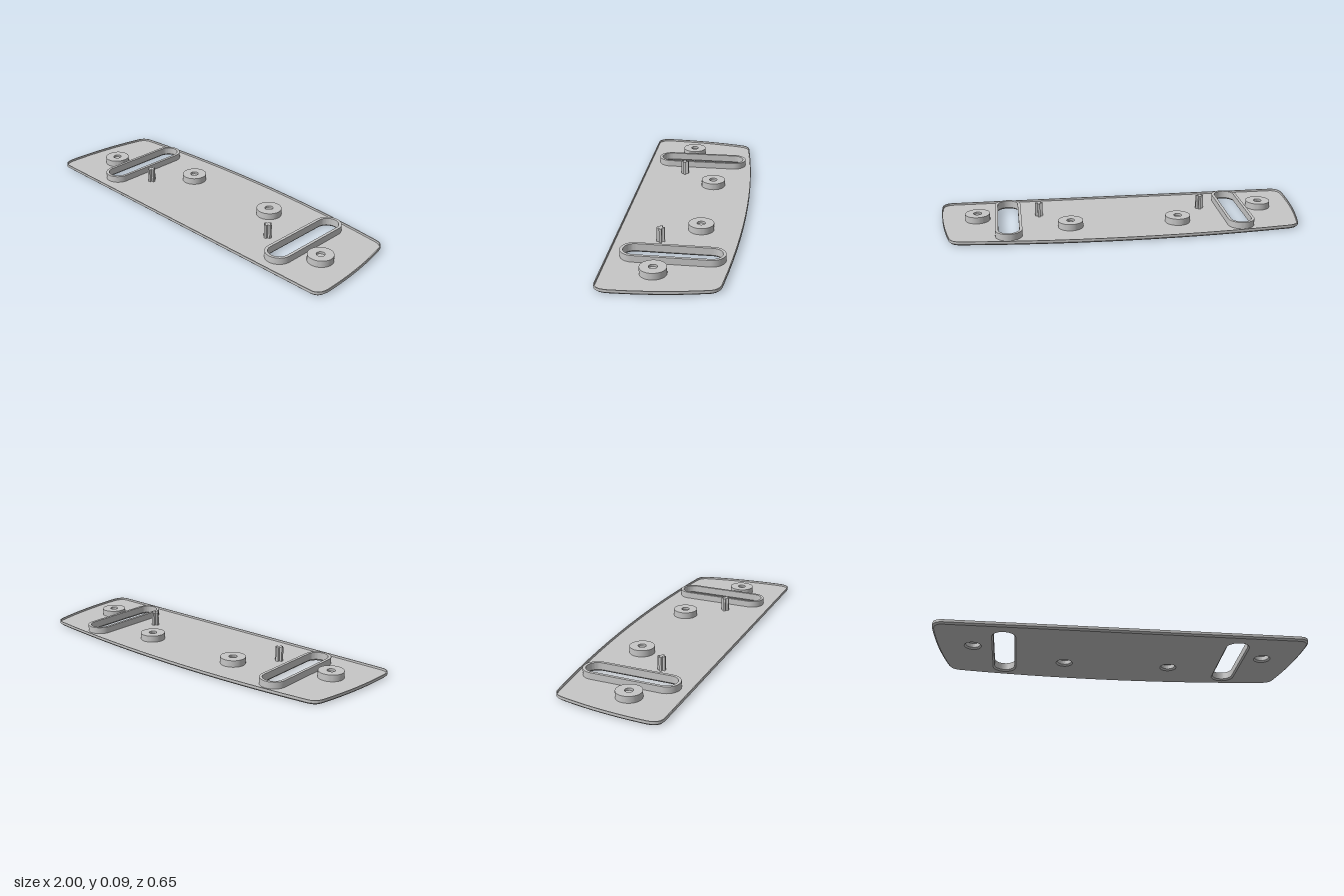
import * as THREE from 'three';
import { toCreasedNormals } from 'three/addons/utils/BufferGeometryUtils.js';

// Plan coordinates: (x, -z), loops run counter-clockwise seen from above.
const FLOOR = 0.012, RIM = 0.0235, TOP = 0.048, CHAMFER = 0.009;

// Outline of the plate, mirrored left to right
function plateOutline() {
  const s = new THREE.Shape();
  s.moveTo(-0.94, -0.326);
  s.lineTo(0.94, -0.326);
  s.quadraticCurveTo(1, -0.326, 1, -0.25);
  s.quadraticCurveTo(0.996, 0, 0.943, 0.225);
  s.quadraticCurveTo(0.93, 0.267, 0.88, 0.273);
  s.quadraticCurveTo(0, 0.379, -0.88, 0.273);
  s.quadraticCurveTo(-0.93, 0.267, -0.943, 0.225);
  s.quadraticCurveTo(-0.996, 0, -1, -0.25);
  s.quadraticCurveTo(-1, -0.326, -0.94, -0.326);
  const pts = s.getPoints(14);
  if (pts[0].distanceTo(pts[pts.length - 1]) < 1e-6) pts.pop();
  return pts;
}

// Move a closed loop inwards by d
function inset(pts, d) {
  const n = pts.length;
  return pts.map((p, i) => {
    const t = pts[(i + 1) % n].clone().sub(p).normalize()
      .add(p.clone().sub(pts[(i + n - 1) % n]).normalize()).normalize();
    return new THREE.Vector2(p.x - t.y * d, p.y + t.x * d);
  });
}

// Circle, or a slot when half > 0, round the centre (cx, cy)
function stadium(cx, cy, r, half = 0) {
  const pts = [], n = 24;
  for (const end of [0, 1]) {
    for (let i = 0; i < n + (half ? 1 : 0); i++) {
      const a = Math.PI * (end + i / n);
      pts.push(new THREE.Vector2(cx + r * Math.cos(a), cy + (end ? -half : half) + r * Math.sin(a)));
    }
  }
  return pts;
}

// Skin a stack of [loop, height] rings
function loft(rings) {
  const n = rings[0][0].length, pos = [], idx = [];
  for (const [loop, y] of rings) for (const p of loop) pos.push(p.x, y, -p.y);
  for (let k = 0; k < rings.length - 1; k++) {
    for (let i = 0; i < n; i++) {
      const a = k * n + i, b = k * n + (i + 1) % n;
      idx.push(a, b, b + n, a, b + n, a + n);
    }
  }
  const g = new THREE.BufferGeometry();
  g.setAttribute('position', new THREE.Float32BufferAttribute(pos, 3));
  g.setIndex(idx);
  return toCreasedNormals(g, 0.5);
}

// Flat sheet with holes, facing up or down
function sheet(loop, holes, y, down) {
  const s = new THREE.Shape(loop);
  s.holes = holes.map(h => new THREE.Path(h));
  const g = new THREE.ShapeGeometry(s);
  if (down) {
    g.index.array.reverse();
    g.attributes.normal.array.forEach((v, i, a) => { a[i] = -v; });
  }
  g.rotateX(-Math.PI / 2);
  g.translate(0, y, 0);
  return g;
}

export function createModel() {
  const group = new THREE.Group();
  const grey = new THREE.MeshStandardMaterial({ color: 0xc6c6c6 });
  grey.name = 'lightGrey';
  const add = (name, geometry) => {
    const m = new THREE.Mesh(geometry, grey);
    m.name = name;
    group.add(m);
    return m;
  };
  const floorHoles = [], baseHoles = [];

  // Raised collars round the two long slots, flared at the underside
  for (const x of [-0.63, 0.63]) {
    const ring = r => stadium(x, 0, r, 0.194);
    add('slotCollar', loft([
      [ring(0.072), FLOOR], [ring(0.072), TOP], [ring(0.056), TOP],
      [ring(0.056), CHAMFER], [ring(0.064), 0],
    ]));
    floorHoles.push(ring(0.072));
    baseHoles.push(ring(0.064));
  }

  // Round bosses with a blind hole on top and a flared pocket below
  for (const [x, z] of [[-0.797, 0.07], [0.797, 0.07], [-0.295, -0.102], [0.295, -0.102]]) {
    const ring = r => stadium(x, -z, r);
    add('screwBoss', loft([
      [ring(0.068), FLOOR], [ring(0.068), TOP], [ring(0.022), TOP], [ring(0.022), 0.036],
    ]));
    add('bossHoleFloor', sheet(ring(0.022), [], 0.036, false));
    add('bossPocket', loft([[ring(0.038), 0.032], [ring(0.038), CHAMFER], [ring(0.046), 0]]));
    add('bossPocketRoof', sheet(ring(0.038), [], 0.032, true));
    floorHoles.push(ring(0.068));
    baseHoles.push(ring(0.046));
  }

  // Plate: chamfered edge with a thin raised lip, then floor and underside
  const edge = plateOutline(), base = inset(edge, 0.01), lip = inset(edge, 0.005);
  add('plateRim', loft([[base, 0], [edge, CHAMFER], [edge, RIM], [lip, RIM], [lip, FLOOR]]));
  add('plateFloor', sheet(lip, floorHoles, FLOOR, false));
  add('plateUnderside', sheet(base, baseHoles, 0, true));

  // Cross-shaped locating pins
  const a = 0.007, b = 0.021;
  const cross = new THREE.Shape([
    [a, -b], [a, -a], [b, -a], [b, a], [a, a], [a, b],
    [-a, b], [-a, a], [-b, a], [-b, -a], [-a, -a], [-a, -b],
  ].map(p => new THREE.Vector2(...p)));
  const pin = new THREE.ExtrudeGeometry(cross, { depth: 0.089 - FLOOR, bevelEnabled: false });
  pin.rotateX(-Math.PI / 2);
  for (const x of [-0.458, 0.458]) add('locatingPin', pin).position.set(x, FLOOR, 0.087);

  return group;
}
